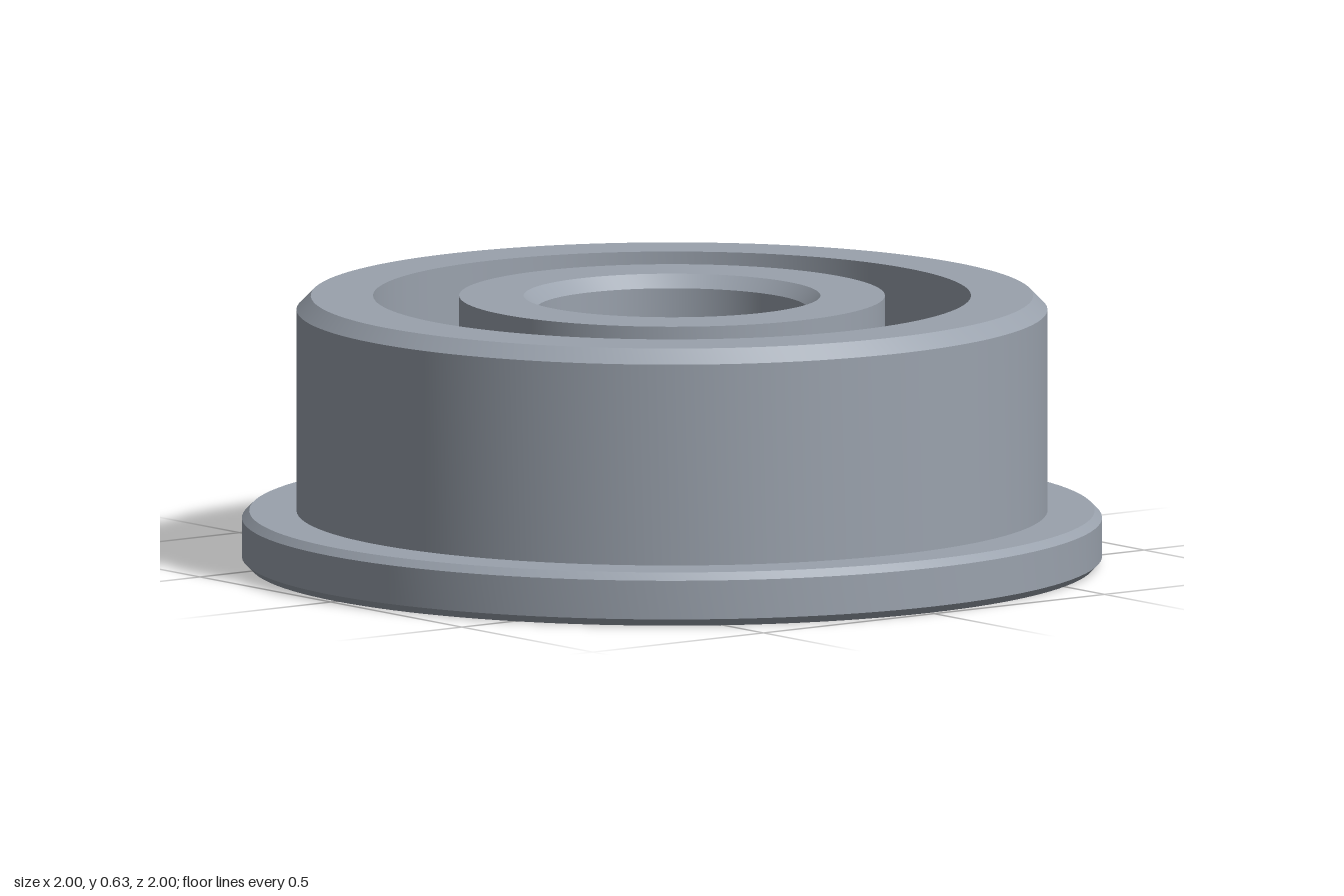
import * as THREE from 'three';
import { toCreasedNormals } from 'three/addons/utils/BufferGeometryUtils.js';

const HEIGHT = 0.63, MID = HEIGHT / 2;
const PITCH = 0.592, BALL = 0.155, GROOVE = 0.158;
const OUTER_WALL = 0.695, INNER_WALL = 0.495;

// Raceway arc between two angles around the ball centre
function arc(from, to, steps = 16) {
  return Array.from({ length: steps + 1 }, (_, i) => {
    const a = from + (to - from) * i / steps;
    return [PITCH + GROOVE * Math.cos(a), MID + GROOVE * Math.sin(a)];
  });
}

// Closed counter-clockwise (radius, height) section turned into a ring
function ring(name, section, material) {
  const points = [...section, section[0]].map(([r, y]) => new THREE.Vector2(r, y));
  const geometry = toCreasedNormals(new THREE.LatheGeometry(points, 128), Math.PI / 9);
  const mesh = new THREE.Mesh(geometry, material);
  mesh.name = name;
  return mesh;
}

export function createModel() {
  const steel = new THREE.MeshStandardMaterial({ color: 0x9aa2ad });
  steel.name = 'steel';
  const model = new THREE.Group();
  model.name = 'flangedBallBearing';

  // Outer ring with flange, chamfers and raceway
  const outerAngle = Math.acos((OUTER_WALL - PITCH) / GROOVE);
  model.add(ring('outerRing', [
    [OUTER_WALL, 0], [0.983, 0], [1, 0.017], [1, 0.108], [0.983, 0.125],
    [0.873, 0.125], [0.873, 0.597], [0.84, HEIGHT], [OUTER_WALL, HEIGHT],
    ...arc(outerAngle, -outerAngle),
  ], steel));

  // Inner ring with chamfered bore and raceway
  const innerAngle = Math.acos((PITCH - INNER_WALL) / GROOVE);
  model.add(ring('innerRing', [
    [0.345, 0], [INNER_WALL, 0],
    ...arc(Math.PI + innerAngle, Math.PI - innerAngle),
    [INNER_WALL, HEIGHT], [0.345, HEIGHT], [0.315, HEIGHT - 0.03], [0.315, 0.03],
  ], steel));

  // Eight balls spaced evenly around the raceway
  const balls = new THREE.Group();
  balls.name = 'balls';
  const ballGeometry = new THREE.SphereGeometry(BALL, 40, 24);
  for (let i = 0; i < 8; i++) {
    const a = 0.204 + i * Math.PI / 4;
    const ball = new THREE.Mesh(ballGeometry, steel);
    ball.name = 'ball';
    ball.position.set(PITCH * Math.cos(a), MID, PITCH * Math.sin(a));
    balls.add(ball);
  }
  model.add(balls);
  return model;
}
